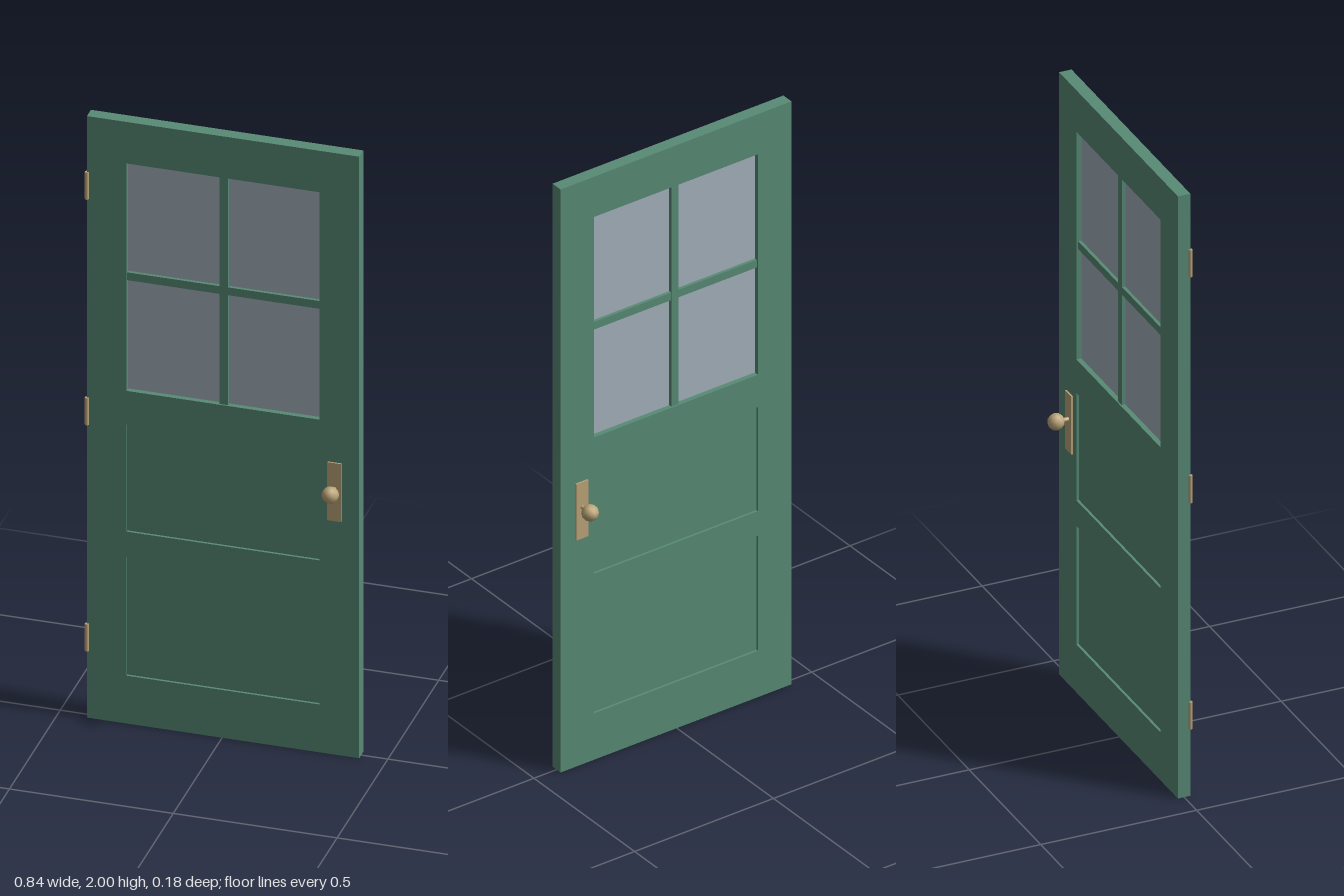
import * as THREE from 'three';

export function createModel() {
  const door = new THREE.Group();
  door.name = 'door';

  const paint = new THREE.MeshStandardMaterial({ color: 0x588b76 });
  paint.name = 'green paint';
  const glass = new THREE.MeshStandardMaterial({ color: 0xa5b2bc });
  glass.name = 'window glass';
  const brass = new THREE.MeshStandardMaterial({ color: 0xbca578 });
  brass.name = 'brass';
  // The faceted knobs get flat normals from their non-indexed geometry

  const add = (name, geometry, material, x, y, z) => {
    const mesh = new THREE.Mesh(geometry, material);
    mesh.name = name;
    mesh.position.set(x, y, z);
    door.add(mesh);
    return mesh;
  };
  const box = (name, material, w, h, d, x, y, z) =>
    add(name, new THREE.BoxGeometry(w, h, d), material, x, y, z);

  const CX = 0.003, HALF = 0.4155, THICK = 0.04, OPEN_W = 0.59;
  const window_ = { bottom: 1.106, top: 1.862 };
  const panels = [
    { name: 'lowerPanel', bottom: 0.159, top: 0.553 },
    { name: 'upperPanel', bottom: 0.638, top: 0.995 },
  ];

  // Frame: one slab with a window opening and two panel openings
  const rect = (path, x0, x1, y0, y1) =>
    path.moveTo(x0, y0).lineTo(x1, y0).lineTo(x1, y1).lineTo(x0, y1).closePath();
  const outline = rect(new THREE.Shape(), -HALF, HALF, 0, 2);
  for (const o of [window_, ...panels]) {
    outline.holes.push(rect(new THREE.Path(), -OPEN_W / 2, OPEN_W / 2, o.bottom, o.top));
  }
  const slab = new THREE.ExtrudeGeometry(outline, { depth: THICK, bevelEnabled: false });
  add('frame', slab, paint, CX, 0, -THICK / 2);

  // Recessed panels
  for (const p of panels) {
    box(p.name, paint, OPEN_W, p.top - p.bottom, 0.024, CX, (p.top + p.bottom) / 2, 0);
  }

  // Window pane and its crossing bars
  const paneH = window_.top - window_.bottom;
  const paneY = (window_.top + window_.bottom) / 2;
  box('windowPane', glass, OPEN_W, paneH, 0.008, CX, paneY, 0);
  box('verticalBar', paint, 0.026, paneH, 0.03, CX, paneY, 0);
  box('horizontalBar', paint, OPEN_W, 0.026, 0.028, CX, paneY, 0);

  // Handle on both faces: plate, stem and faceted knob
  const HX = 0.344;
  for (const [side, s] of [['front', 1], ['back', -1]]) {
    box(side + 'HandlePlate', brass, 0.043, 0.193, 0.006, HX, 0.875, s * 0.022);
    const stem = add(side + 'Stem', new THREE.CylinderGeometry(0.0068, 0.0068, 0.036, 8), brass, HX, 0.886, s * 0.036);
    stem.rotation.x = Math.PI / 2;
    add(side + 'Knob', new THREE.IcosahedronGeometry(0.0262, 1), brass, HX, 0.886, s * 0.064);
  }

  // Hinge barrels along the left-hand edge
  for (const y of [0.268, 1.02, 1.77]) {
    add('hinge', new THREE.CylinderGeometry(0.0065, 0.0065, 0.09, 8), brass, -0.4126, y, 0.02);
  }

  return door;
}
